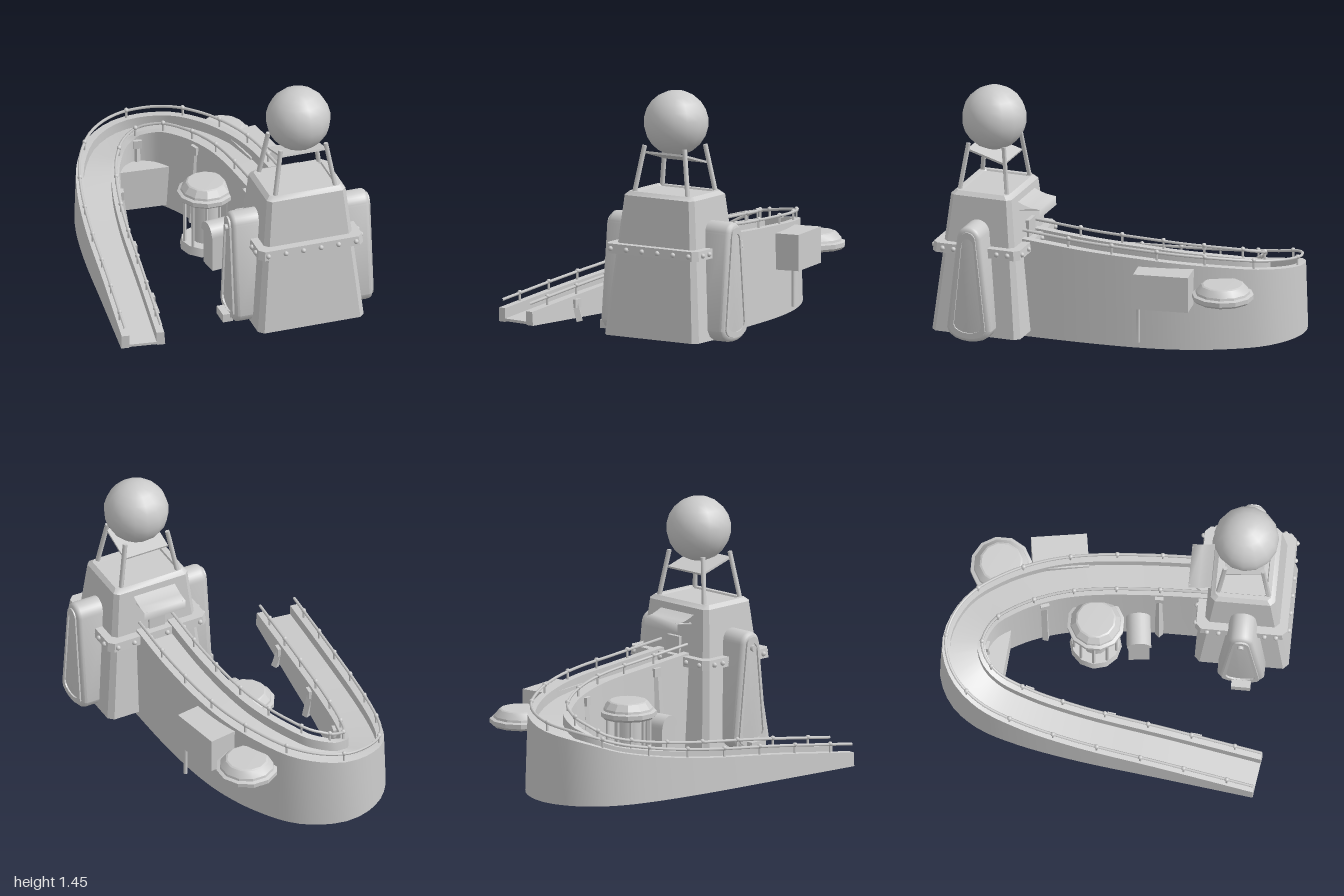
import * as THREE from 'three';
import { toCreasedNormals } from 'three/addons/utils/BufferGeometryUtils.js';

const mat = new THREE.MeshStandardMaterial({ color: 0xcccccc });
const thinMat = new THREE.MeshStandardMaterial({ color: 0xcccccc, side: THREE.DoubleSide });
const V = (x, y, z) => new THREE.Vector3(x, y, z);

function add(parent, name, geo, x = 0, y = 0, z = 0, material = mat) {
  const m = new THREE.Mesh(geo, material);
  m.name = name;
  m.position.set(x, y, z);
  parent.add(m);
  return m;
}
const box = (parent, name, w, h, d, x, y, z) => add(parent, name, new THREE.BoxGeometry(w, h, d), x, y, z);

// Straight bar between two points
function beam(parent, name, a, b, r, sides = 6) {
  const geo = new THREE.CylinderGeometry(r, r, a.distanceTo(b), sides);
  const m = add(parent, name, toCreasedNormals(geo, 1.1));
  m.position.copy(a).add(b).multiplyScalar(0.5);
  m.quaternion.setFromUnitVectors(V(0, 1, 0), b.clone().sub(a).normalize());
  return m;
}

// Skin over a row of matching loops; an end is closed when its 2D outline is given
function skin(rings, startOutline, endOutline) {
  const pos = [];
  const tri = (...p) => p.forEach((q) => pos.push(q.x, q.y, q.z));
  const n = rings[0].length;
  for (let k = 0; k < rings.length - 1; k++) {
    for (let i = 0; i < n; i++) {
      const j = (i + 1) % n, A = rings[k], B = rings[k + 1];
      tri(A[i], A[j], B[j]);
      tri(A[i], B[j], B[i]);
    }
  }
  const first = rings[0], last = rings[rings.length - 1];
  const cap = (outline) => (outline ? THREE.ShapeUtils.triangulateShape(outline, []) : []);
  for (const [a, b, c] of cap(startOutline)) tri(first[a], first[c], first[b]);
  for (const [a, b, c] of cap(endOutline)) tri(last[a], last[b], last[c]);
  const geo = new THREE.BufferGeometry();
  geo.setAttribute('position', new THREE.Float32BufferAttribute(pos, 3));
  return toCreasedNormals(geo, 0.5);
}

// Stacked rectangles with cut corners, open below; each level is [y, halfX, halfZ, corner]
function chamferStack(levels, closeTop) {
  const outline = ([, hx, hz, c]) => [
    [hz, -hx + c], [hz, hx - c], [hz - c, hx], [-hz + c, hx],
    [-hz, hx - c], [-hz, -hx + c], [-hz + c, -hx], [hz - c, -hx],
  ].map(([u, v]) => new THREE.Vector2(u, v));
  const flats = levels.map(outline);
  const rings = flats.map((f, i) => f.map((p) => V(p.y, levels[i][0], p.x)));
  return skin(rings, null, closeTop ? flats[flats.length - 1] : null);
}

function makeTower() {
  const g = new THREE.Group();
  g.name = 'tower';
  g.position.set(0.345, 0, 0.71);
  add(g, 'towerBody', chamferStack([
    [0.055, 0.32, 0.27, 0.03], [0.86, 0.238, 0.185, 0.025], [0.882, 0.215, 0.16, 0.02],
    [0.882, 0.19, 0.135, 0.01], [0.872, 0.185, 0.13, 0.01],
  ], true), 0, 0, 0, thinMat);
  // Studded belt
  add(g, 'belt', chamferStack([[0.53, 0.268, 0.215, 0.03], [0.53, 0.318, 0.268, 0.03],
    [0.585, 0.312, 0.262, 0.03], [0.585, 0.262, 0.208, 0.03]], false));
  const stud = new THREE.SphereGeometry(0.015, 8, 6);
  for (const s of [-1, 1]) {
    for (let i = 0; i < 6; i++) add(g, 'beltStud', stud, (i - 2.5) * 0.106, 0.557, s * 0.268);
    for (let i = -3; i <= 3; i++) add(g, 'beltStud', stud, s * 0.318, 0.557, i * 0.066);
  }
  // Raised stand with sloping plate and ball
  for (const sx of [-1, 1]) for (const sz of [-1, 1]) {
    beam(g, 'standLeg', V(sx * 0.182, 0.87, sz * 0.145), V(sx * 0.136, 1.145, sz * 0.108), 0.014, 6);
  }
  const plate = box(g, 'standPlate', 0.28, 0.012, 0.235, 0.002, 1.075, 0);
  plate.rotation.x = -0.28;
  add(g, 'ball', new THREE.SphereGeometry(0.187, 15, 11), 0.007, 1.275, 0);
  return g;
}

// Drop-shaped pods on the two flanks
function makeSidePods() {
  const g = new THREE.Group();
  g.name = 'sidePods';
  const drop = new THREE.Shape();
  drop.moveTo(-0.108, 0.12);
  drop.bezierCurveTo(-0.1, 0.05, 0.1, 0.05, 0.108, 0.12);
  drop.lineTo(0.048, 0.66);
  drop.absarc(0, 0.66, 0.046, 0.1, Math.PI - 0.1, false);
  const outline = drop.getPoints(8);
  const scaled = (s) => outline.map((p) => new THREE.Vector2(p.x * s, 0.36 + (p.y - 0.36) * (s * 0.5 + 0.5)));
  const body = toCreasedNormals(new THREE.ExtrudeGeometry(new THREE.Shape(scaled(1)),
    { depth: 0.15, bevelSize: 0.026, bevelThickness: 0.026, bevelSegments: 3 }), 0.6);
  const rim = new THREE.Shape(scaled(1));
  rim.holes.push(new THREE.Path(scaled(0.78)));
  const rimGeo = new THREE.ExtrudeGeometry(rim, { depth: 0.012, bevelEnabled: false });
  for (const [bodyX, rimX] of [[0.735, 0.77], [0.105, -0.07]]) {
    add(g, 'podBody', body, bodyX, 0, 0.715).rotation.y = -Math.PI / 2;
    add(g, 'podRim', rimGeo, rimX, 0, 0.715).rotation.y = -Math.PI / 2;
  }
  box(g, 'podStep', 0.06, 0.05, 0.11, -0.095, 0.075, 0.72);
  add(g, 'podKnob', new THREE.CylinderGeometry(0.018, 0.018, 0.02, 10), -0.085, 0.64, 0.715).rotation.z = Math.PI / 2;
  return g;
}

// Centre line of the slide: plan position plus the height of its curbs
const path = new THREE.CatmullRomCurve3([
  [-0.64, 0.12, 0.865], [-0.57, 0.185, 0.34], [-0.5, 0.24, -0.18], [-0.435, 0.29, -0.5], [-0.365, 0.34, -0.7],
  [-0.265, 0.4, -0.82], [-0.12, 0.44, -0.868], [0.055, 0.48, -0.795], [0.175, 0.512, -0.63],
  [0.265, 0.537, -0.41], [0.31, 0.555, -0.19], [0.335, 0.572, 0.13], [0.34, 0.6, 0.5],
].map((p) => V(...p)));
const HALF = 0.124;

// Point beside the centre line: u outward, y absolute
function beside(t, u, y) {
  const p = path.getPointAt(t), d = path.getTangentAt(t);
  const l = Math.hypot(d.x, d.z);
  return V(p.x + (d.z / l) * u, y, p.z - (d.x / l) * u);
}
const curbY = (t) => path.getPointAt(t).y;

function makeSlide() {
  const g = new THREE.Group();
  g.name = 'slide';
  // Two walls standing on the ground with the sliding floor hung between them
  const section = (t) => {
    const h = curbY(t), e = HALF - 0.045, k = Math.min(1, h * 2);
    const floor = h - 0.06, under = floor - 0.015, base = 0.04 - 0.02 * t;
    const out = 0.014 * k, lean = 0.025 * k;
    return [[-HALF - lean, base], [-e - lean, base], [-e, under], [e, under], [e + out, base], [HALF + out, base],
      [HALF, h], [e, h], [e, floor], [-e, floor], [-e, h], [-HALF, h]].map(([u, v]) => new THREE.Vector2(u, v));
  };
  const N = 72, rings = [];
  for (let i = 0; i <= N; i++) rings.push(section(i / N).map((p) => beside(i / N, p.x, p.y)));
  add(g, 'slideBody', skin(rings, section(0), section(1)));

  // Handrails with posts and round studs
  const stud = new THREE.SphereGeometry(0.014, 8, 6);
  for (const s of [-1, 1]) {
    const u = s * (HALF - 0.02), pts = [];
    for (let i = 0; i <= 40; i++) pts.push(beside(i / 40, u, curbY(i / 40) + 0.046));
    add(g, 'handrail', new THREE.TubeGeometry(new THREE.CatmullRomCurve3(pts), 90, 0.009, 5));
    for (let i = 0; i < 13; i++) {
      const t = 0.045 + i * 0.073, y = curbY(t);
      beam(g, 'railPost', beside(t, u, y - 0.01), beside(t, u, y + 0.045), 0.007, 5);
      const p = beside(t, u, y + 0.05);
      add(g, 'railStud', stud, p.x, p.y, p.z);
    }
  }
  // Leaning buttresses on the inner wall
  for (const t of [0.11, 0.255, 0.4, 0.56, 0.72, 0.92]) {
    const top = curbY(t) - 0.03;
    beam(g, 'buttress', beside(t, -HALF + 0.008, top), beside(t, -HALF - 0.03, 0.02), 0.024, 4);
    const p = beside(t, -HALF + 0.002, top - 0.015);
    const cap = box(g, 'buttressCap', 0.045, 0.05, 0.05, p.x, p.y, p.z);
    const d = path.getTangentAt(t);
    cap.rotation.y = Math.atan2(d.x, d.z);
  }
  // Block filling the inside of the bend
  const block = box(g, 'bendBlock', 0.33, 0.25, 0.16, -0.09, 0.165, -0.7);
  block.rotation.y = -0.08;
  return g;
}

function makeEntrance() {
  const g = new THREE.Group();
  g.name = 'slideEntrance';
  box(g, 'door', 0.1, 0.14, 0.06, 0.335, 0.615, 0.515);
  // Curved awning with a hanging lip
  const profile = [[0.53, 0.825], [0.49, 0.808], [0.45, 0.795], [0.39, 0.787], [0.388, 0.735]];
  const geo = new THREE.PlaneGeometry(0.265, 1, 1, profile.length - 1);
  const p = geo.attributes.position;
  for (let i = 0; i < p.count; i++) {
    const [z, y] = profile[Math.floor(i / 2)];
    p.setXYZ(i, p.getX(i), y, z);
  }
  geo.computeVertexNormals();
  add(g, 'awning', geo, 0.335, 0, 0, thinMat);
  for (const x of [0.22, 0.45]) beam(g, 'awningBrace', V(x, 0.765, 0.54), V(x, 0.785, 0.392), 0.005, 5);
  return g;
}

// Twelve-sided stepped cap used on both round pavilions
function makeCap(parent, x, z, r) {
  const prof = [[0, 0.355], [0.9, 0.35], [1, 0.365], [1, 0.39], [0.89, 0.397],
    [0.87, 0.41], [0.7, 0.445], [0.64, 0.45], [0, 0.452]].map(([a, y]) => new THREE.Vector2(a * r, y));
  const geo = toCreasedNormals(new THREE.LatheGeometry(prof, 12), 0.4);
  add(parent, 'steppedCap', geo, x, 0, z).rotation.y = Math.PI / 12;
}

function makePavilion() {
  const g = new THREE.Group();
  g.name = 'pavilion';
  g.position.set(0.085, 0, -0.13);
  makeCap(g, 0, 0, 0.165);
  add(g, 'pavilionFloor', new THREE.CylinderGeometry(0.14, 0.15, 0.05, 12), 0, 0.055, 0);
  add(g, 'pavilionCore', new THREE.CylinderGeometry(0.08, 0.08, 0.3, 12), 0, 0.21, 0);
  for (let i = 0; i < 10; i++) {
    const a = (i / 10) * Math.PI * 2, x = Math.cos(a) * 0.128, z = Math.sin(a) * 0.128;
    beam(g, 'pavilionPost', V(x, 0.06, z), V(x, 0.36, z), 0.01, 5);
  }
  return g;
}

function makeAnnexes() {
  const g = new THREE.Group();
  g.name = 'annexes';
  makeCap(g, 0.38, -0.7, 0.178);
  // Box cabin on the outer wall, with a prop
  box(g, 'cabin', 0.2, 0.21, 0.32, 0.452, 0.405, -0.368).rotation.y = 0.16;
  beam(g, 'cabinProp', V(0.535, 0.09, -0.24), V(0.535, 0.31, -0.24), 0.012, 6);
  // Small hut with a rounded roof inside the bend
  const hut = new THREE.Group();
  hut.name = 'smallHut';
  hut.position.set(0.095, 0, 0.115);
  hut.rotation.y = 0.12;
  box(hut, 'hutBody', 0.17, 0.22, 0.12, 0, 0.15, 0);
  const roof = new THREE.CylinderGeometry(0.07, 0.07, 0.19, 12, 1, false, 0, Math.PI);
  add(hut, 'hutRoof', roof, 0, 0.26, 0, thinMat).rotation.z = Math.PI / 2;
  g.add(hut);
  return g;
}

export function createModel() {
  const model = new THREE.Group();
  model.name = 'slideTower';
  model.add(makeTower(), makeSidePods(), makeSlide(), makeEntrance(), makePavilion(), makeAnnexes());
  return model;
}
